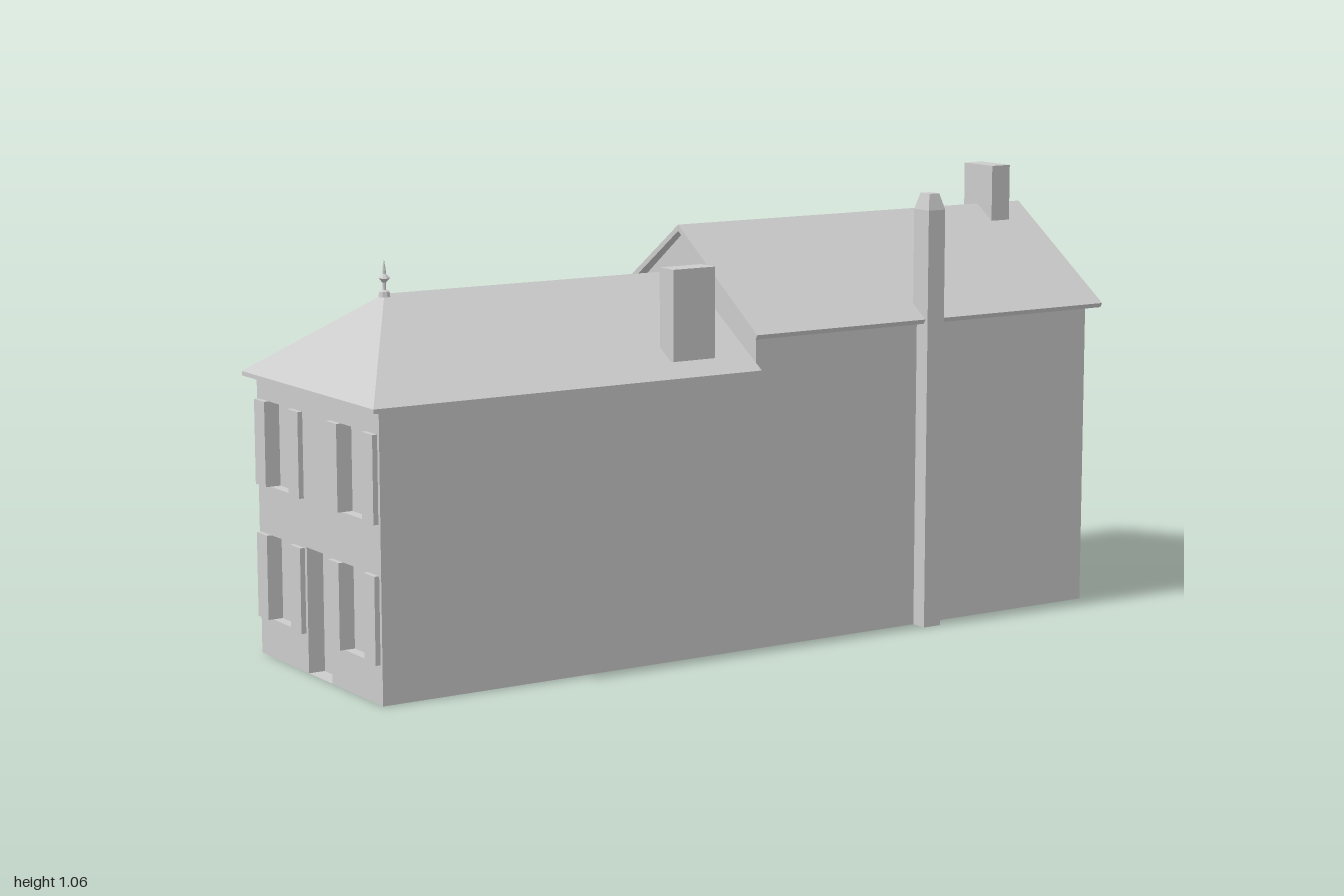
import * as THREE from 'three';

const mat = new THREE.MeshStandardMaterial({ color: 0xcccccc, flatShading: true, side: THREE.DoubleSide });
const ZC = -0.004;   // middle of the house depth
const HALF = 0.297;  // half depth of the walls
const END = 0.975;   // half length of the walls

function add(parent, name, geometry, x = 0, y = 0, z = 0) {
  const mesh = new THREE.Mesh(geometry, mat);
  mesh.name = name;
  mesh.position.set(x, y, z);
  parent.add(mesh);
  return mesh;
}

// Box given by its extents on each axis
function block(parent, name, x0, x1, y0, y1, z0, z1) {
  return add(parent, name, new THREE.BoxGeometry(x1 - x0, y1 - y0, z1 - z0),
    (x0 + x1) / 2, (y0 + y1) / 2, (z0 + z1) / 2);
}

const polygon = (pts) => new THREE.Shape(pts.map(([x, y]) => new THREE.Vector2(x, y)));

// Wall in its own plane, z pointing outward; openings are [u0, u1, y0, y1]
function wall(parent, name, outline, openings = []) {
  const group = new THREE.Group();
  group.name = name;
  const shape = polygon(outline);
  for (const [a, b, c, d] of openings) {
    shape.holes.push(new THREE.Path([[a, c], [a, d], [b, d], [b, c]].map((p) => new THREE.Vector2(...p))));
  }
  add(group, name + 'Surface', new THREE.ShapeGeometry(shape));
  parent.add(group);
  return group;
}

// Reveal behind an opening: a box without its outer face
function recess(parent, name, [a, b, c, d], depth = 0.025, open = false) {
  const box = new THREE.BoxGeometry(b - a, d - c, depth);
  box.setIndex([...box.index.array].slice(0, 24)); // sides only
  box.clearGroups();
  add(parent, name + 'Reveal', box, (a + b) / 2, (c + d) / 2, -depth / 2);
  const paneStart = open ? (a + b) / 2 : a;
  block(parent, name + 'Pane', paneStart, b, c, d, -depth - 0.003, -depth);
}

// Row of thin closed leaves lying on the wall
function leaves(parent, name, a, b, c, d, count) {
  const w = (b - a) / count;
  for (let i = 0; i < count; i++) {
    block(parent, name, a + i * w + (i ? 0.003 : 0), a + (i + 1) * w, c, d, -0.002, 0.012);
  }
}

// Recessed window with an opened shutter at each side
function shutteredWindow(parent, [a, b, c, d], shutter, open) {
  recess(parent, 'window', [a, b, c, d], 0.025, open);
  leaves(parent, 'shutter', a - shutter, a, c, d, 1);
  leaves(parent, 'shutter', b, b + shutter, c, d, 1);
}

function buildWalls(house) {
  const longOutline = (s) => [[-END * s, 0], [END * s, 0], [END * s, 0.74], [0, 0.74], [0, 0.655], [-END * s, 0.655]];

  const front = wall(house, 'frontWall', longOutline(1));
  front.position.z = ZC + HALF;

  // Back wall: local u runs from the house's left to its right
  const wide = [
    [-0.775, -0.655, 0.09, 0.287], [-0.395, -0.275, 0.09, 0.287],
    [0.21, 0.335, 0.39, 0.595], [0.655, 0.775, 0.39, 0.595],
  ];
  const back = wall(house, 'backWall', longOutline(-1), wide);
  back.rotation.y = Math.PI;
  back.position.z = ZC - HALF;
  wide.forEach((o, i) => shutteredWindow(back, o, 0.062, i === 3));
  for (const u of [-0.712, -0.33]) leaves(back, 'upperWindow', u - 0.064, u + 0.064, 0.43, 0.63, 1);
  leaves(back, 'upperShutters', -0.137, -0.006, 0.43, 0.625, 2);
  leaves(back, 'backDoor', -0.13, -0.004, 0, 0.29, 1);
  for (const u of [0.272, 0.56, 0.866]) leaves(back, 'lowerShutters', u - 0.065, u + 0.065, 0.087, 0.284, 2);
  for (const u of [-0.718, -0.337, -0.077, 0.265, 0.711]) {
    block(back, 'sill', u - 0.046, u + 0.046, 0.365, 0.384, -0.002, 0.025);
  }
  block(back, 'downpipe', -END - 0.004, -END + 0.016, 0, 0.74, 0, 0.014);

  // Hipped end: local u follows world z
  const endWindows = [];
  for (const u of [-0.178, 0.178]) {
    for (const y of [0.09, 0.4]) endWindows.push([u - 0.058, u + 0.058, y, y + 0.197]);
  }
  const w = 0.058;
  const endOutline = [[-HALF, 0], [-w, 0], [-w, 0.29], [w, 0.29], [w, 0], [HALF, 0], [HALF, 0.655], [-HALF, 0.655]];
  const end = wall(house, 'hippedEndWall', endOutline, endWindows);
  end.rotation.y = -Math.PI / 2;
  end.position.set(-END, 0, ZC);
  for (const o of endWindows) shutteredWindow(end, o, 0.052);
  recess(end, 'endDoor', [-w, w, 0, 0.29], 0.04);

  // Gables of the taller wing
  const slope = [[HALF, 0.74], [0, 0.95], [-HALF, 0.74]];
  const gable = wall(house, 'gableEndWall', [[-HALF, 0], [HALF, 0], ...slope]);
  const inner = wall(house, 'innerGable', [[-HALF, 0.64], [HALF, 0.64], ...slope]);
  gable.rotation.y = Math.PI / 2;
  inner.rotation.y = -Math.PI / 2;
  gable.position.set(END, 0, ZC);
  inner.position.set(0, 0, ZC);
}

function buildRoofs(house) {
  // Gabled roof: chevron section swept along x
  const section = polygon([[-0.331, 0.742], [-0.324, 0.731], [0, 0.95], [0.324, 0.731], [0.331, 0.742], [0, 0.965]]);
  const tall = add(house, 'gabledRoof',
    new THREE.ExtrudeGeometry(section, { depth: 1.02, bevelEnabled: false }), -0.02, 0, ZC);
  tall.rotation.y = Math.PI / 2;

  // Hipped roof: two eave rings and a ridge
  const h = 0.321;
  const ring = (y) => [[-1, y, h], [0, y, h], [0, y, -h], [-1, y, -h]];
  const points = [...ring(0.648), ...ring(0.658), [-0.8, 0.857, 0], [0, 0.857, 0]];
  const faces = [0, 3, 2, 0, 2, 1, 4, 5, 9, 4, 9, 8, 6, 7, 8, 6, 8, 9, 7, 4, 8, 5, 6, 9];
  for (let i = 0; i < 4; i++) {
    const j = (i + 1) % 4;
    faces.push(i, j, j + 4, i, j + 4, i + 4);
  }
  const hip = new THREE.BufferGeometry();
  hip.setAttribute('position', new THREE.Float32BufferAttribute(points.flat(), 3));
  hip.setIndex(faces);
  const hipGeometry = hip.toNonIndexed();
  hipGeometry.computeVertexNormals();
  add(house, 'hippedRoof', hipGeometry, 0, 0, ZC);

  // Finial on the hip point
  const profile = [[0.014, 0.85], [0.012, 0.862], [0.004, 0.866], [0.004, 0.882], [0.014, 0.892],
    [0.004, 0.902], [0.004, 0.912], [0, 0.935]].map((p) => new THREE.Vector2(...p));
  add(house, 'finial', new THREE.LatheGeometry(profile, 8), -0.8, 0, ZC);
}

function buildChimneys(house) {
  block(house, 'gableChimney', 0.87, 0.925, 0.925, 1.063, -0.058, 0.053);
  block(house, 'slopeChimney', -0.215, -0.102, 0.69, 0.9, 0.22, 0.277);

  // Tall flue on the front wall with a tapered cap
  block(house, 'frontFlue', 0.46, 0.508, 0, 1.0, 0.278, 0.335);
  const cap = new THREE.BoxGeometry(0.048, 0.038, 0.057);
  const pos = cap.attributes.position;
  for (let i = 0; i < pos.count; i++) {
    if (pos.getY(i) > 0) {
      pos.setX(i, pos.getX(i) * 0.6);
      pos.setZ(i, pos.getZ(i) * 0.6);
    }
  }
  cap.computeVertexNormals();
  add(house, 'flueCap', cap, 0.484, 1.019, 0.3065);
}

export function createModel() {
  const house = new THREE.Group();
  house.name = 'house';
  buildWalls(house);
  buildRoofs(house);
  buildChimneys(house);
  return house;
}
